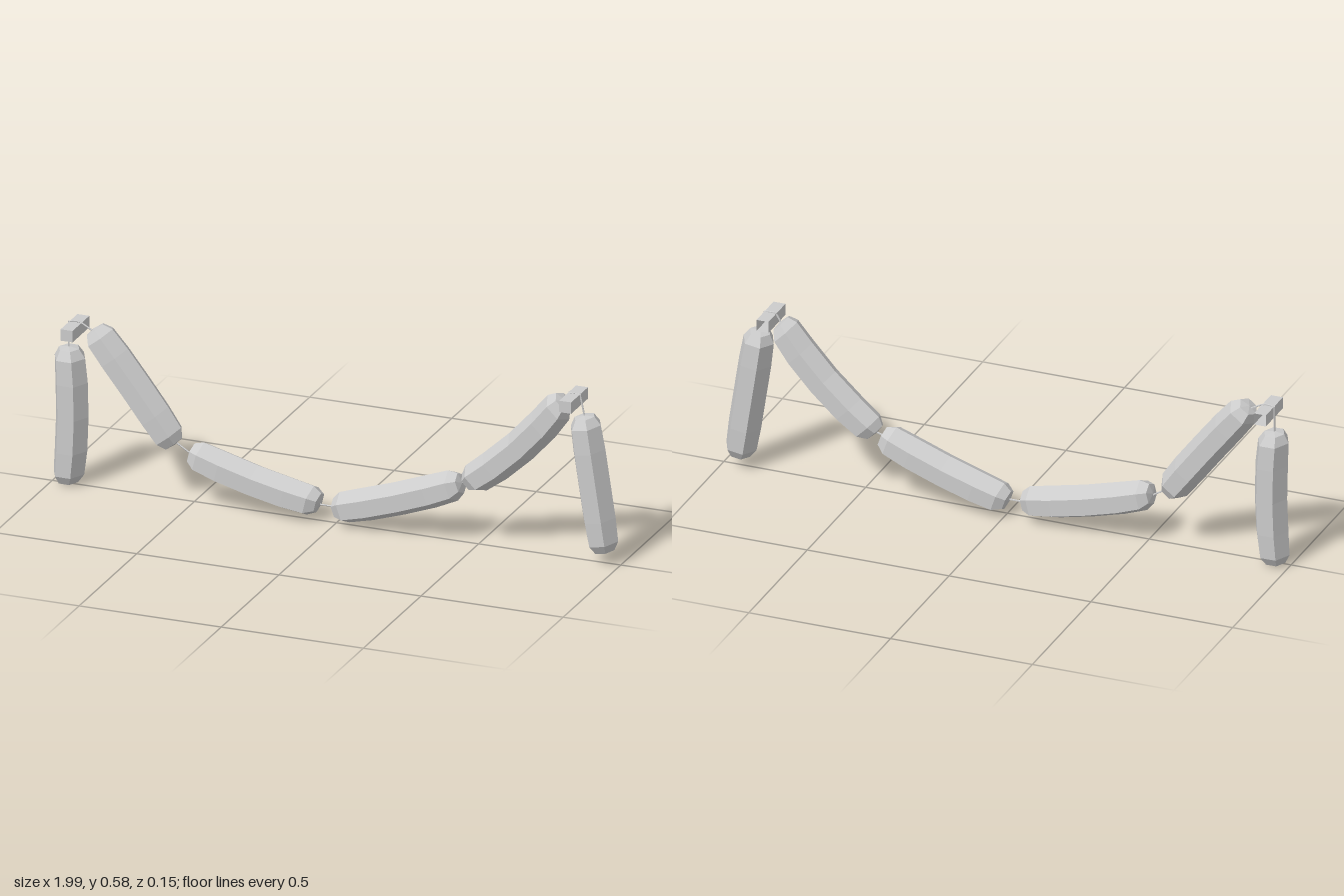
import * as THREE from 'three';

const Z = -0.004; // plane of the hanging chain

// Six-sided sausage from a to b, bowed sideways in its middle
function makeSausage(a, b, bow) {
  const dx = b[0] - a[0], dy = b[1] - a[1];
  const length = Math.hypot(dx, dy), h = length / 2, r = 0.057;
  const profile = [
    [0, -h], [r * 0.62, -h + 0.006], [r * 0.94, -h + 0.036],
    [r, -h * 0.5], [r, 0], [r, h * 0.5],
    [r * 0.94, h - 0.036], [r * 0.62, h - 0.006], [0, h],
  ].map(([x, y]) => new THREE.Vector2(x, y));
  const geometry = new THREE.LatheGeometry(profile, 6, Math.PI / 2);
  geometry.scale(1, 1, 1.19);
  const p = geometry.attributes.position;
  for (let i = 0; i < p.count; i++) {
    const t = p.getY(i) / h;
    p.setX(i, p.getX(i) + bow * (1 - t * t));
  }
  geometry.rotateZ(-Math.atan2(dx, dy));
  geometry.translate((a[0] + b[0]) / 2, (a[1] + b[1]) / 2, Z);
  geometry.computeVertexNormals();
  return geometry;
}

// Thin string running straight between the given points
function makeString(points) {
  const path = new THREE.CurvePath();
  const v = points.map(([x, y]) => new THREE.Vector3(x, y, Z));
  for (let i = 1; i < v.length; i++) path.add(new THREE.LineCurve3(v[i - 1], v[i]));
  return new THREE.TubeGeometry(path, 12, 0.003, 5);
}

// Square peg, hollow towards the back
function makePeg(x, y) {
  const geometry = new THREE.BoxGeometry(0.042, 0.04, 0.146);
  const index = Array.from(geometry.index.array).slice(0, 30);
  geometry.setIndex(index);
  geometry.clearGroups();
  geometry.translate(x, y, 0);
  return geometry;
}

export function createModel() {
  const model = new THREE.Group();
  model.name = 'sausageChain';
  const flat = new THREE.MeshStandardMaterial({ color: 0xcccccc, flatShading: true });
  const open = new THREE.MeshStandardMaterial({
    color: 0xcccccc, flatShading: true, side: THREE.DoubleSide,
  });
  const add = (name, geometry, material) => {
    const mesh = new THREE.Mesh(geometry, material);
    mesh.name = name;
    model.add(mesh);
  };

  // Sausages: start, end, bow
  const links = [
    [[-0.947, 0.008], [-0.943, 0.486], 0.014],
    [[-0.57, 0.195], [-0.855, 0.562], 0.004],
    [[-0.515, 0.178], [-0.058, 0.066], 0.012],
    [[-0.008, 0.056], [0.441, 0.212], 0.01],
    [[0.46, 0.215], [0.8, 0.556], 0.022],
    [[0.87, 0.513], [0.942, 0.044], 0],
  ];
  links.forEach(([a, b, bow], i) => add(`sausage${i + 1}`, makeSausage(a, b, bow), flat));

  // Strings between the links, draped over the pegs at both ends
  const strings = [
    [[-0.943, 0.48], [-0.943, 0.575], [-0.905, 0.577], [-0.855, 0.55]],
    [[-0.575, 0.21], [-0.51, 0.17]],
    [[-0.065, 0.062], [0, 0.062]],
    [[0.435, 0.21], [0.465, 0.22]],
    [[0.795, 0.55], [0.815, 0.584], [0.855, 0.584], [0.872, 0.505]],
  ];
  strings.forEach((points, i) => add(`string${i + 1}`, makeString(points), flat));

  // Pegs
  add('rightPeg', makePeg(-0.92, 0.553), open);
  add('leftPeg', makePeg(0.834, 0.563), open);
  return model;
}
